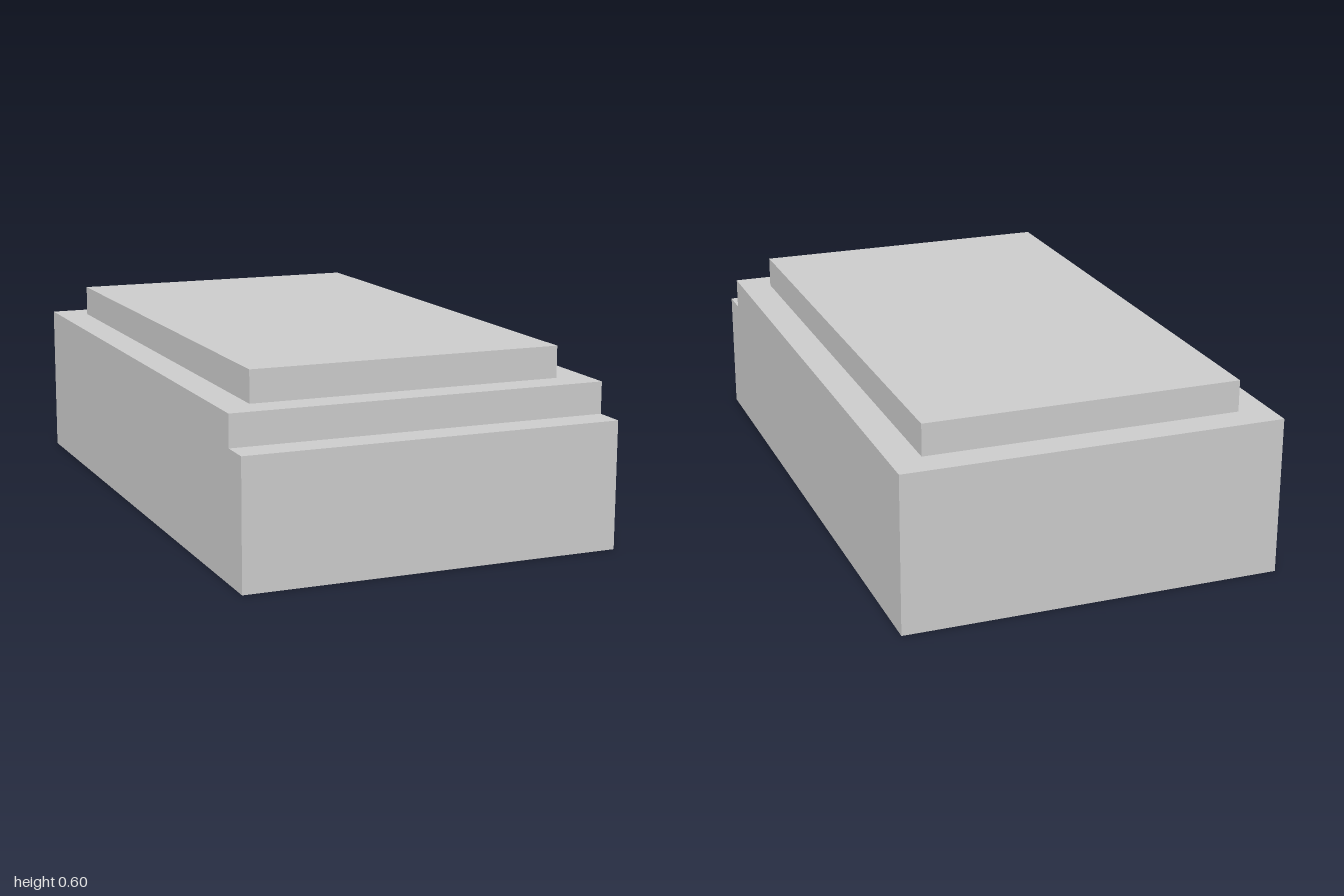
import * as THREE from 'three';

export function createModel() {
  const group = new THREE.Group();
  group.name = 'steppedBlock';
  const material = new THREE.MeshStandardMaterial({ color: 0xcccccc, flatShading: true });

  const addPart = (name, geometry) => {
    const mesh = new THREE.Mesh(geometry, material);
    mesh.name = name;
    group.add(mesh);
  };

  // Body: side profile (z, y) with a low step at the front, extruded across the width
  const profile = new THREE.Shape(
    [[-1, 0], [1, 0], [1, 0.4], [0.9, 0.4], [0.9, 0.5], [-1, 0.5]].map(([z, y]) => new THREE.Vector2(z, y))
  );
  const body = new THREE.ExtrudeGeometry(profile, { depth: 1.2, bevelEnabled: false });
  body.rotateY(-Math.PI / 2).translate(0.6, 0, 0);
  addPart('body', body);

  // Raised slab on top, set in 0.1 from the body's upper edges
  addPart('topSlab', new THREE.BoxGeometry(1, 0.1, 1.7).translate(0, 0.55, -0.05));

  return group;
}
